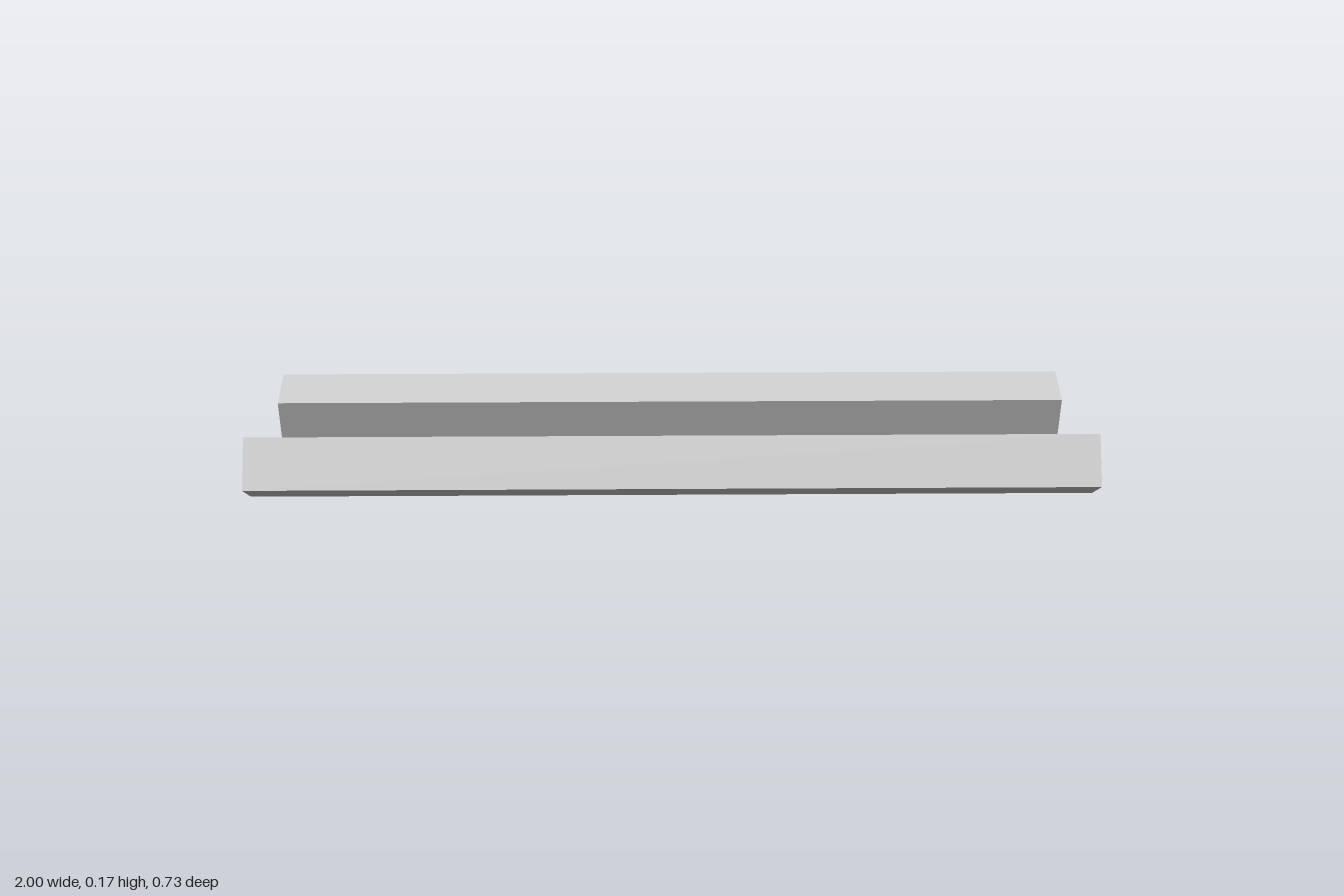
import * as THREE from 'three';

export function createModel() {
  const group = new THREE.Group();
  group.name = 'railPair';
  const material = new THREE.MeshStandardMaterial({ color: 0xcccccc, flatShading: true });
  const geometry = new THREE.BoxGeometry(2, 0.125, 0.125);

  // Two parallel square bars, each tipped inwards
  for (const [name, side] of [['frontBar', 1], ['backBar', -1]]) {
    const bar = new THREE.Mesh(geometry, material);
    bar.name = name;
    bar.position.set(0, 0.084, side * 0.283);
    bar.rotation.x = -side * Math.PI / 8;
    group.add(bar);
  }

  // Very slight skew of the whole pair
  group.rotation.set(0, 0.002, 0.002);
  return group;
}
